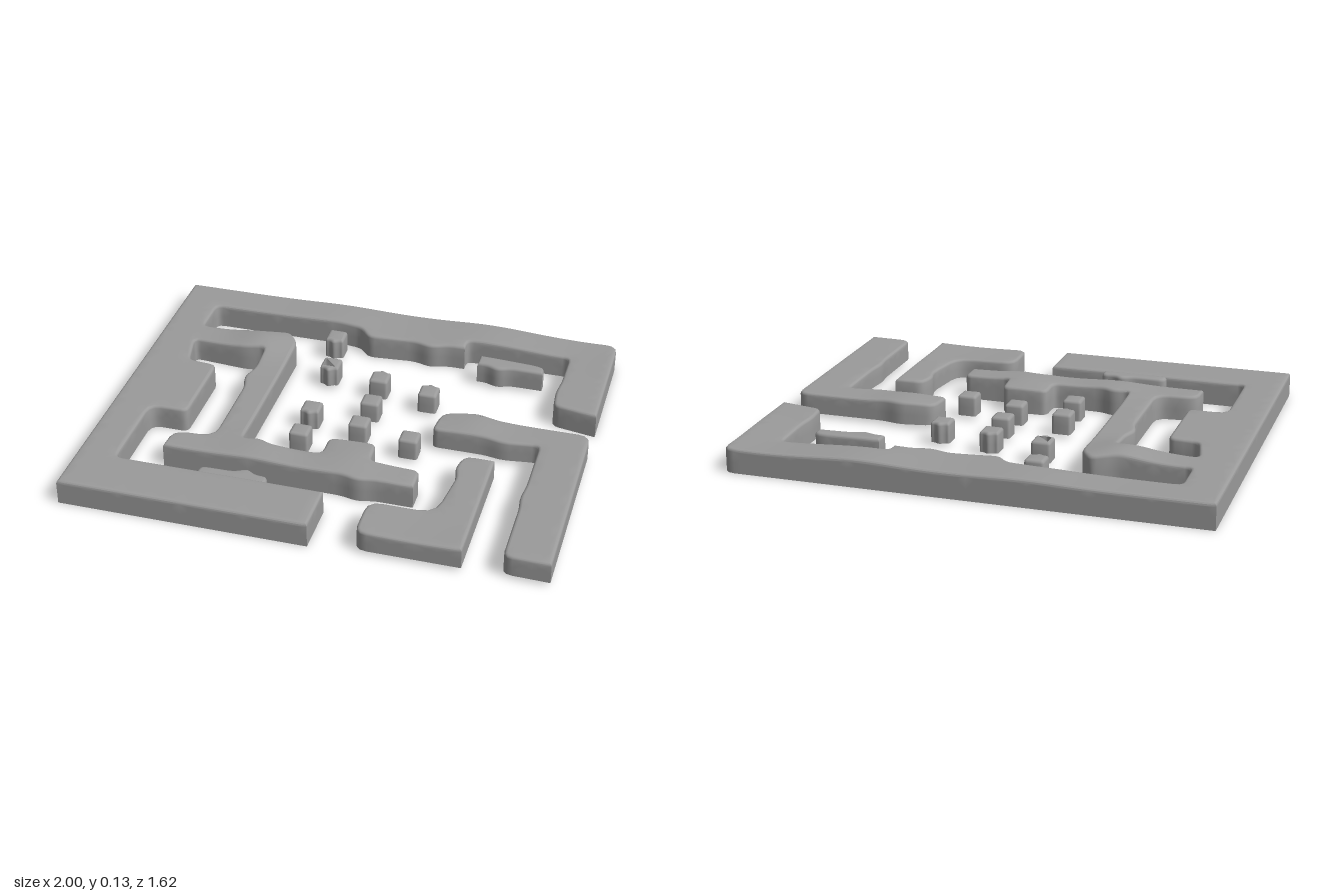
import * as THREE from 'three';
import { toCreasedNormals } from 'three/addons/utils/BufferGeometryUtils.js';

const material = new THREE.MeshStandardMaterial({ color: 0x9b9b9b, side: THREE.DoubleSide });
const HEIGHT = 0.108;
const BEVEL = 0.013;
const MAX_EDGE = 0.06;
const NORMAL_SCALE = 100; // enlarges the mesh so close vertices stay apart when creasing

// Soft swells on the wall tops: x, z, extra height, radius
const SWELLS = [
  [-0.53, -0.41, 0.026, 0.13], [-0.3, 0.38, 0.012, 0.14], [0.1, 0.33, 0.012, 0.14],
  [0.42, -0.76, 0.013, 0.2], [-0.25, -0.72, 0.01, 0.2], [0.85, -0.7, -0.008, 0.2],
  [0.52, -0.05, 0.012, 0.12], [0.45, 0.72, -0.009, 0.25],
];

// Top height with its slopes along x and z
function topSurface(x, z) {
  const top = { height: HEIGHT, slopeX: 0, slopeZ: 0 };
  for (const [sx, sz, dh, r] of SWELLS) {
    const g = dh * Math.exp(-((x - sx) ** 2 + (z - sz) ** 2) / (r * r));
    top.height += g;
    top.slopeX -= 2 * g * (x - sx) / (r * r);
    top.slopeZ -= 2 * g * (z - sz) / (r * r);
  }
  return top;
}

// Round each corner (x, z, radius)
function outlinePoints(corners) {
  const pts = corners.map(([x, z]) => new THREE.Vector2(x, -z));
  return pts.flatMap((p, i) => {
    const radius = corners[i][2] ?? 0.03;
    if (radius === 0) return [p];
    const [a, b] = [pts.at(i - 1), pts[(i + 1) % pts.length]].map((q) => {
      const length = p.distanceTo(q);
      return p.clone().lerp(q, Math.min(radius, length * 0.4) / length);
    });
    return new THREE.QuadraticBezierCurve(a, p, b).getPoints(3);
  });
}

// Halve the longest edge until the triangle is small enough to follow the swells
function splitTriangle(a, b, c, out) {
  const ab = a.distanceTo(b), bc = b.distanceTo(c), ca = c.distanceTo(a);
  const longest = Math.max(ab, bc, ca);
  if (longest <= MAX_EDGE) {
    for (const v of [a, b, c]) out.push(v.x, v.y, v.z);
  } else if (longest === ab) {
    const m = a.clone().add(b).multiplyScalar(0.5);
    splitTriangle(a, m, c, out);
    splitTriangle(m, b, c, out);
  } else {
    splitTriangle(b, c, a, out);
  }
}

// Hollow wall, open below, with a rounded upper rim
function wall(name, corners, base = 0.015, rise = 0) {
  const extruded = new THREE.ExtrudeGeometry(new THREE.Shape(outlinePoints(corners)), {
    depth: HEIGHT - base - BEVEL, bevelThickness: BEVEL, bevelSize: BEVEL,
    bevelOffset: -BEVEL, bevelSegments: 3, steps: 1,
  });
  const src = extruded.attributes.position;
  const kept = [];
  for (let i = 0; i < src.count; i += 3) {
    const triangle = [0, 1, 2].map((k) => new THREE.Vector3().fromBufferAttribute(src, i + k));
    // leave the underside open
    if (triangle.some((v) => v.z > 1e-5)) splitTriangle(...triangle, kept);
  }
  const flat = new THREE.BufferGeometry();
  flat.setAttribute('position', new THREE.Float32BufferAttribute(kept, 3));
  flat.rotateX(-Math.PI / 2).scale(NORMAL_SCALE, NORMAL_SCALE, NORMAL_SCALE);
  const geometry = toCreasedNormals(flat, 0.8);
  geometry.scale(1 / NORMAL_SCALE, 1 / NORMAL_SCALE, 1 / NORMAL_SCALE);

  // Lift the top and tilt its normals to match
  const { position, normal } = geometry.attributes;
  for (let i = 0; i < position.count; i++) {
    const x = position.getX(i), z = position.getZ(i);
    const t = position.getY(i) / (HEIGHT - base);
    const { height, slopeX, slopeZ } = topSurface(x, z);
    position.setY(i, base + t * (height + rise - base));
    const ny = normal.getY(i);
    normal.setXYZ(i, normal.getX(i) - ny * t * slopeX, ny, normal.getZ(i) - ny * t * slopeZ);
  }
  geometry.normalizeNormals();
  const mesh = new THREE.Mesh(geometry, material);
  mesh.name = name;
  return mesh;
}

// Outer wall joined to the inner spiral arm
const OUTER = [
  [-1, -0.815, 0], [1, -0.815, 0.05], [1, -0.23, 0], [0.81, -0.265], [0.8, -0.38], [0.81, -0.46],
  [0.81, -0.66], [0.35, -0.66], [0.35, -0.6, 0], [0.27, -0.6], [0.2, -0.575], [0.12, -0.6],
  [-0.09, -0.582], [-0.14, -0.643], [-0.25, -0.658], [-0.835, -0.658],
  [-0.835, -0.475], [-0.53, -0.475], [-0.43, -0.51], [-0.38, -0.44], [-0.38, 0.33],
  [-0.31, 0.313], [-0.25, 0.34], [-0.035, 0.34], [-0.035, 0.225], [0.165, 0.22], [0.17, 0.34],
  [0.38, 0.343], [0.38, 0.457, 0], [0.22, 0.457], [0.15, 0.475], [0.08, 0.457],
  [-0.68, 0.457, 0], [-0.675, 0.345, 0.07], [-0.5, 0.335, 0.06],
  [-0.5, -0.05], [-0.525, -0.13], [-0.5, -0.2], [-0.5, -0.35], [-0.59, -0.335],
  [-0.835, -0.355], [-0.8, -0.19], [-0.67, -0.18], [-0.67, 0.197], [-0.835, 0.197, 0.05],
  [-0.835, 0.585], [0.045, 0.585, 0], [0.045, 0.81, 0], [-1, 0.81, 0],
];

const RIGHT_CORNER = [
  [0.355, 0.045], [0.37, -0.085, 0.04], [0.52, -0.11], [0.6, -0.09], [1, -0.09, 0.05],
  [1, 0.79, 0], [0.81, 0.785, 0.04], [0.81, 0.47], [0.8, 0.4], [0.81, 0.32],
  [0.81, 0.04], [0.66, 0.06], [0.58, 0.045],
];

const FRONT_CORNER = [
  [0.53, 0.195, 0.04], [0.655, 0.195, 0], [0.655, 0.795, 0], [0.23, 0.795, 0.05],
  [0.23, 0.59, 0.06], [0.5, 0.585, 0.07], [0.53, 0.35], [0.51, 0.28],
];

const BACK_BLOCK = [
  [0.43, -0.562, 0], [0.72, -0.555, 0.06], [0.72, -0.495, 0], [0.58, -0.495],
  [0.525, -0.472], [0.47, -0.495], [0.43, -0.495, 0],
];

const FRONT_LEDGE = [
  [-0.485, 0.547], [-0.34, 0.547], [-0.29, 0.52], [-0.25, 0.547], [-0.195, 0.547],
  [-0.195, 0.62], [-0.485, 0.62],
];

// Small pillars: x, z, bulge along z
const PILLARS = [
  [-0.23, -0.555, 0.015], [-0.19, -0.335, 0.02], [0.045, -0.285, -0.015],
  [0.275, -0.235, -0.015], [0.055, -0.105, 0], [-0.175, 0.012, 0.015],
  [0.05, 0.065, 0], [0.28, 0.117, 0], [-0.17, 0.19, 0],
];

function pillar([x, z, bulge], i) {
  const s = 0.041;
  const side = bulge < 0 ? -1 : 1;
  const square = [[-s, -s], [s, -s], [s, s], [-s, s]];
  if (bulge) square.splice(3, 0, [0.022, s], [0, s + Math.abs(bulge)], [-0.022, s]);
  const corners = square.map(([dx, dz]) => [x + dx * side, z + dz * side, 0.013]);
  return wall(`pillar${i + 1}`, corners, 0.015, -0.004);
}

export function createModel() {
  const model = new THREE.Group();
  model.name = 'mazeWalls';
  const pillars = new THREE.Group();
  pillars.name = 'pillars';
  pillars.add(...PILLARS.map(pillar));
  model.add(
    wall('outerWall', OUTER, 0),
    wall('rightCornerWall', RIGHT_CORNER, 0.015, -0.004),
    wall('frontCornerWall', FRONT_CORNER),
    wall('backBlock', BACK_BLOCK),
    wall('frontLedge', FRONT_LEDGE, 0.015, -0.003),
    pillars,
  );
  return model;
}
